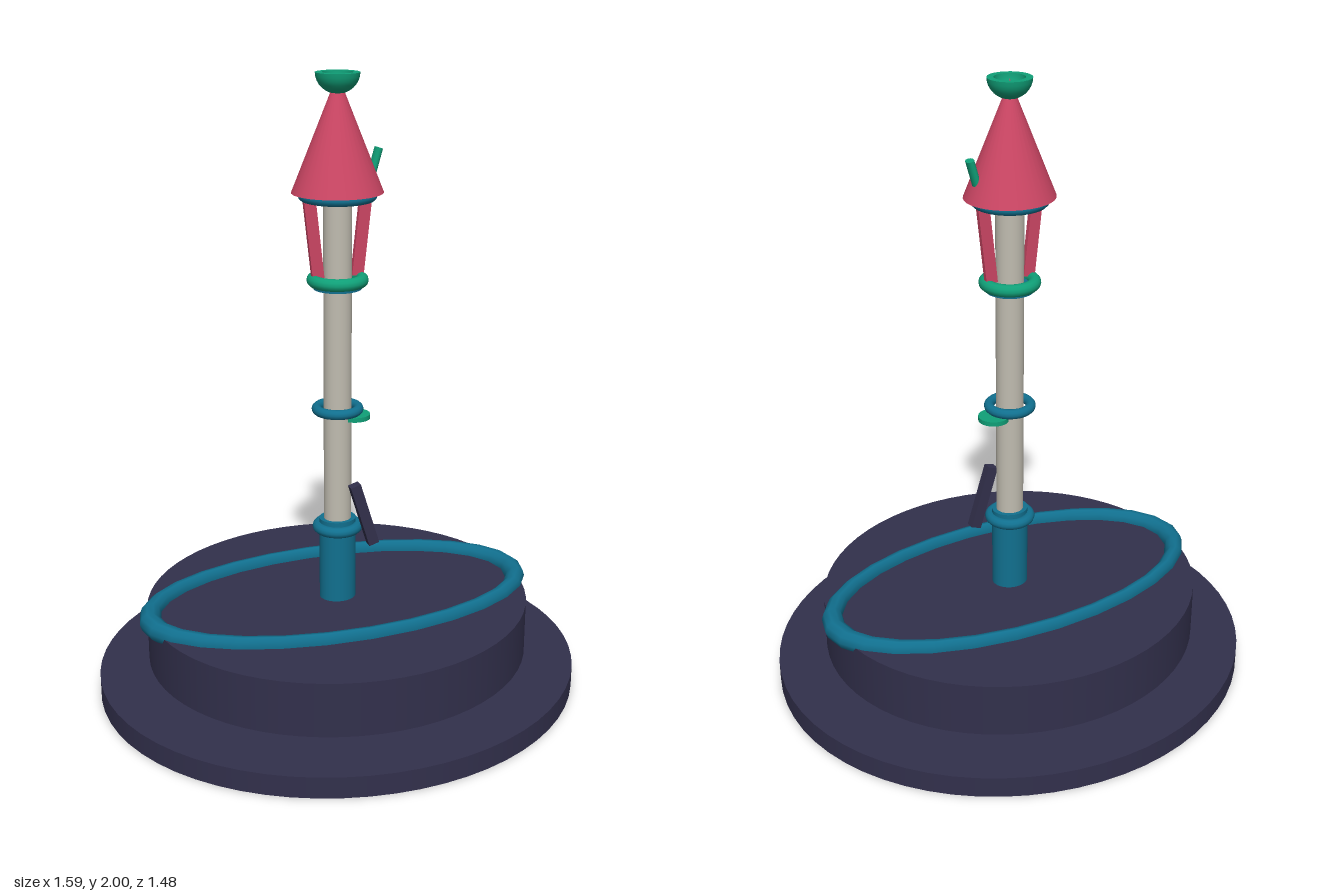
import * as THREE from 'three';

const mat = (name, color, extra = {}) => {
  const m = new THREE.MeshStandardMaterial({ color, ...extra });
  m.name = name;
  return m;
};

export function createModel() {
  const navy = mat('navy', 0x32304c);
  const teal = mat('teal', 0x11708f);
  const green = mat('green', 0x10a078);
  const red = mat('red', 0xcc4664);
  const stone = mat('stone', 0xc0bcb0);

  const model = new THREE.Group();
  model.name = 'tower';

  const add = (name, geometry, material, x = 0, y = 0, z = 0) => {
    const mesh = new THREE.Mesh(geometry, material);
    mesh.name = name;
    mesh.position.set(x, y, z);
    model.add(mesh);
    return mesh;
  };

  // Upright drum between two heights, with separate x and z radii
  const drum = (name, material, rx, rz, y0, y1, sides = 32) => {
    const g = new THREE.CylinderGeometry(rx, rx, y1 - y0, sides).scale(1, 1, rz / rx);
    return add(name, g, material, 0, (y0 + y1) / 2);
  };

  // Horizontal ring given by its outer radius and tube radius
  const ring = (name, material, outer, tube, y) =>
    add(name, new THREE.TorusGeometry(outer - tube, tube, 12, 32).rotateX(Math.PI / 2), material, 0, y);

  // Stepped oval base
  drum('basePlate', navy, 0.795, 0.74, 0, 0.07, 64);
  drum('baseDrum', navy, 0.632, 0.59, 0.11, 0.29, 64);

  // Stretched oval hoop lying on the base
  add('baseHoop',
    new THREE.TorusGeometry(0.317, 0.0175, 10, 28).rotateX(Math.PI / 2).scale(2, 2, 1),
    teal, 0, 0.29);

  // Shaft with its lower sleeve and collars
  drum('shaft', stone, 0.045, 0.042, 0.29, 1.64);
  drum('sleeve', teal, 0.06, 0.055, 0.28, 0.57);
  ring('sleeveRing', teal, 0.082, 0.018, 0.54);
  ring('middleRing', teal, 0.083, 0.016, 0.945);
  drum('upperRingSeat', teal, 0.076, 0.076, 1.34, 1.365);
  ring('upperRing', green, 0.097, 0.02, 1.367);
  ring('roofRing', teal, 0.122, 0.017, 1.632);

  // Small shelf on the shaft
  add('shelf', new THREE.CylinderGeometry(0.05, 0.05, 0.015, 24), green, 0.058, 0.914);

  // Slanted slat in front of the shaft
  add('slat', new THREE.BoxGeometry(0.035, 0.22, 0.03), navy, 0.067, 0.596, 0.065)
    .rotation.z = 0.3;

  // Leaning struts under the roof
  for (const side of [-1, 1]) {
    add('strut', new THREE.BoxGeometry(0.038, 0.25, 0.016), red, side * 0.078, 1.5, 0)
      .rotation.z = -side * 0.11;
  }

  // Conical roof
  add('roof', new THREE.ConeGeometry(0.143, 0.355, 32).scale(1, 1, 0.94), red, 0, 1.8175);

  // Tilted chimney on the roof
  const chimney = add('chimney',
    new THREE.CylinderGeometry(0.018, 0.018, 0.08, 16).scale(0.7, 1, 1),
    green, 0.122, 1.731);
  chimney.rotation.z = -0.28;

  // Open bowl around the roof tip
  const profile = [];
  for (let i = 0; i <= 8; i++) {
    const a = (i / 8) * Math.PI / 2;
    profile.push(new THREE.Vector2(0.068 * Math.sin(a), 2 - 0.064 * Math.cos(a)));
  }
  profile.push(new THREE.Vector2(0.068, 2), new THREE.Vector2(0.047, 2), new THREE.Vector2(0.047, 2));
  for (let i = 7; i >= 0; i--) {
    const a = (i / 8) * Math.PI / 2;
    profile.push(new THREE.Vector2(0.047 * Math.sin(a), 2 - 0.05 * Math.cos(a)));
  }
  add('finialBowl', new THREE.LatheGeometry(profile, 32), green);

  return model;
}
